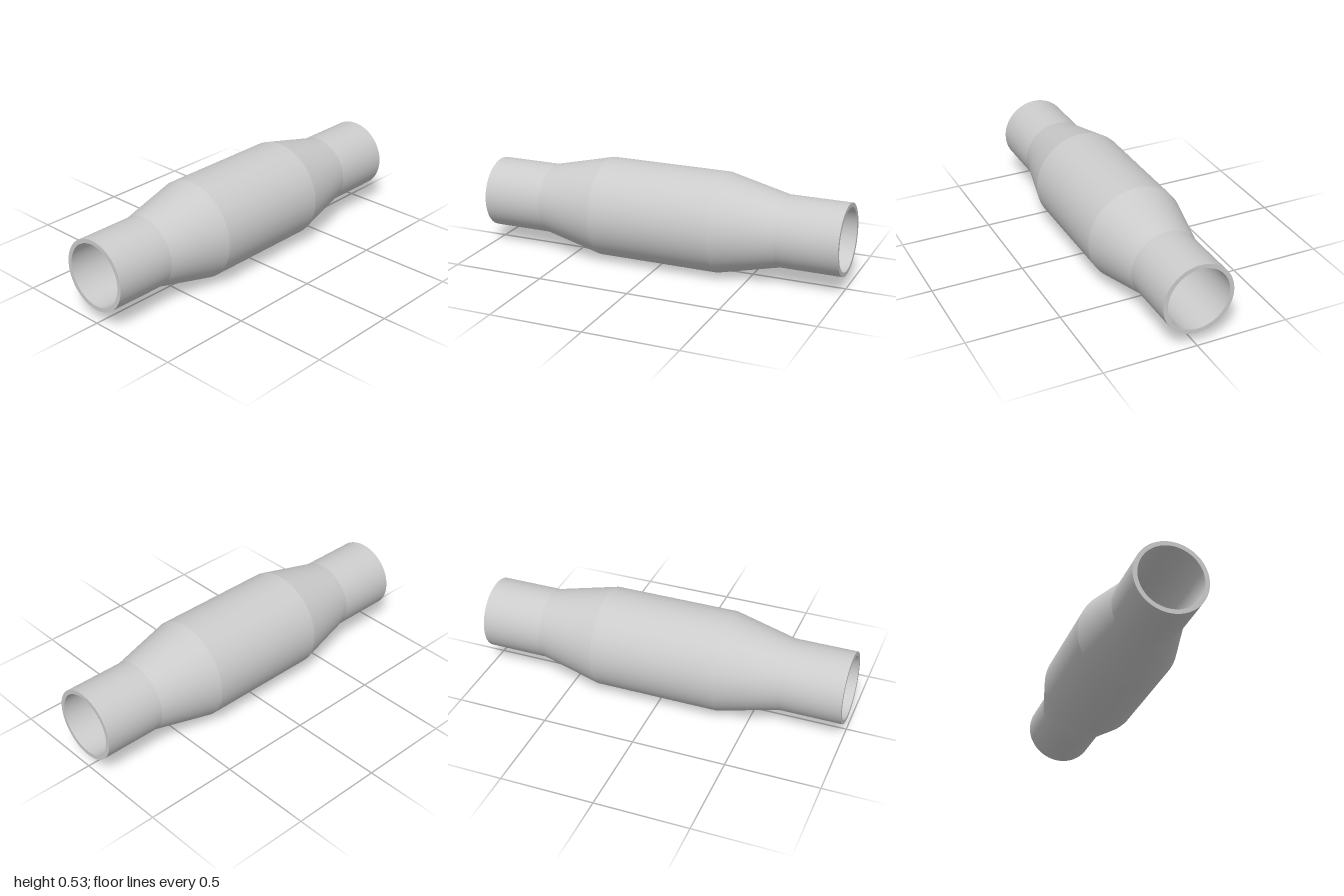
import * as THREE from 'three';

export function createModel() {
  const group = new THREE.Group();
  group.name = 'taperedSleeve';
  const material = new THREE.MeshStandardMaterial({ color: 0xcccccc });

  const pipe = 0.19, body = 0.267, bore = 0.167;

  // Closed wall profile as [radius, position along x]: up the outside, back down the bore
  const profile = [
    [pipe, -1], [pipe, -0.667], [body, -0.335], [body, 0.335],
    [pipe, 0.667], [pipe, 1], [bore, 1], [bore, -1], [pipe, -1],
  ];
  const names = [
    'rightPipe', 'rightTaper', 'centralBody', 'leftTaper',
    'leftPipe', 'leftRim', 'bore', 'rightRim',
  ];

  // One lathe per band keeps each band round and the edges between bands sharp
  names.forEach((name, i) => {
    const points = [profile[i], profile[i + 1]].map(([r, x]) => new THREE.Vector2(r, x));
    const geometry = new THREE.LatheGeometry(points, 96);
    geometry.rotateZ(-Math.PI / 2);
    geometry.translate(0, body, 0);
    const mesh = new THREE.Mesh(geometry, material);
    mesh.name = name;
    group.add(mesh);
  });

  return group;
}
